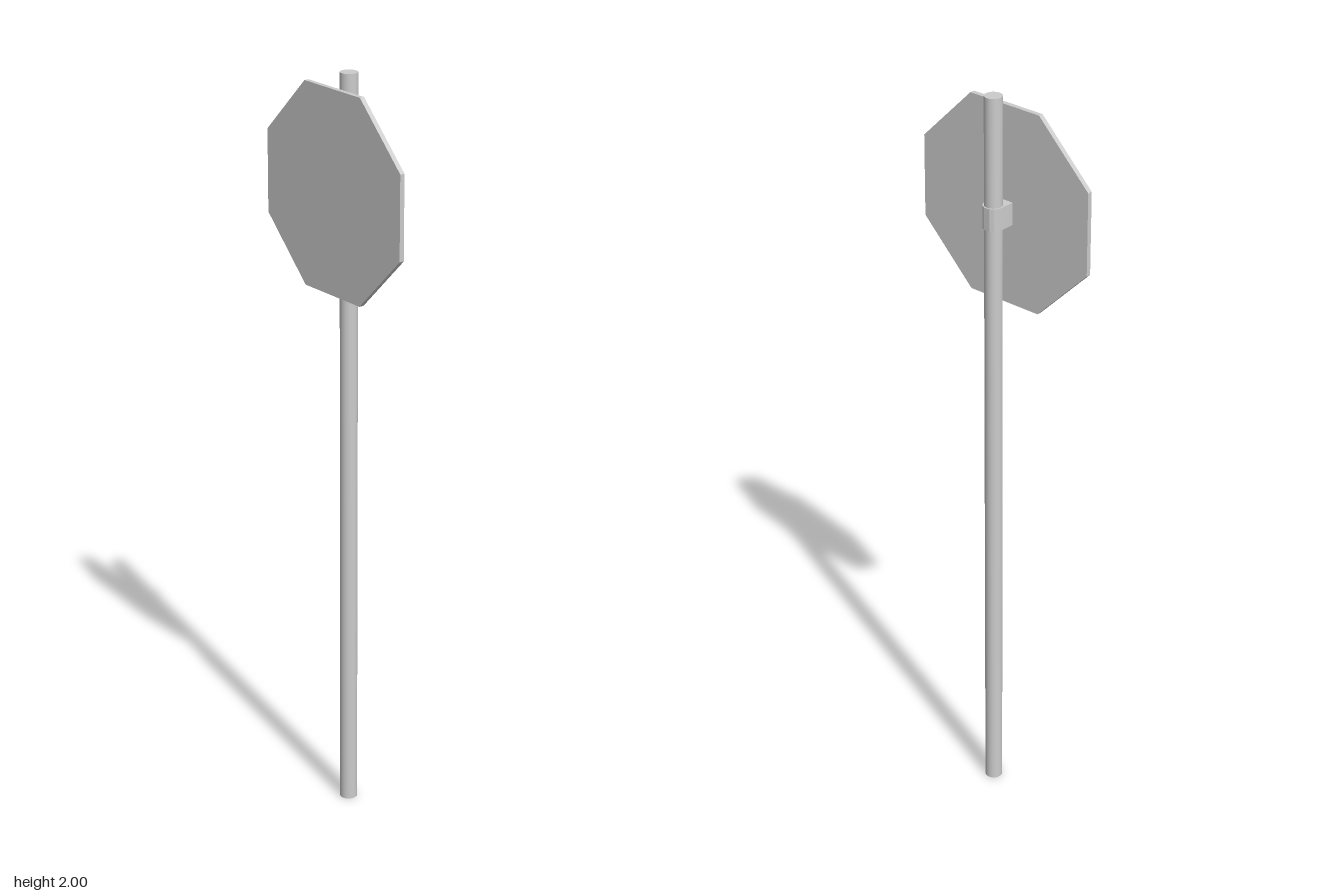
import * as THREE from 'three';
import { toCreasedNormals } from 'three/addons/utils/BufferGeometryUtils.js';

const POLE_Z = -0.014;
const PANEL_BACK = 0.026;

export function createModel() {
  const group = new THREE.Group();
  const material = new THREE.MeshStandardMaterial({ color: 0xcccccc });
  const add = (name, geometry, x, y, z) => {
    const mesh = new THREE.Mesh(geometry, material);
    mesh.name = name;
    mesh.position.set(x, y, z);
    group.add(mesh);
    return mesh;
  };

  // Round pole
  add('pole', new THREE.CylinderGeometry(0.023, 0.023, 2, 32), 0, 1, POLE_Z);

  // Flat octagonal sign panel, wide sides level and upright
  const apothem = 0.264;
  const radius = apothem / Math.cos(Math.PI / 8);
  const octagon = new THREE.Shape(Array.from({ length: 8 }, (_, i) => {
    const a = (i + 0.5) * Math.PI / 4;
    return new THREE.Vector2(radius * Math.cos(a), radius * Math.sin(a));
  }));
  add('signPanel', new THREE.ExtrudeGeometry(octagon, { depth: 0.013, bevelEnabled: false }),
    0, 1.702, PANEL_BACK);

  // Clamp: rounded around the back of the pole, square where it meets the panel
  const r = 0.027;
  const reach = PANEL_BACK - POLE_Z;
  const profile = new THREE.Shape();
  profile.moveTo(-r, -reach);
  profile.lineTo(r, -reach);
  profile.lineTo(r, 0);
  profile.absarc(0, 0, r, 0, Math.PI, false);
  profile.lineTo(-r, -reach);
  const clampGeometry = toCreasedNormals(
    new THREE.ExtrudeGeometry(profile, { depth: 0.06, bevelEnabled: false, curveSegments: 16 }), 0.6);
  clampGeometry.rotateX(-Math.PI / 2);
  add('clamp', clampGeometry, 0, 1.655, POLE_Z);

  return group;
}
